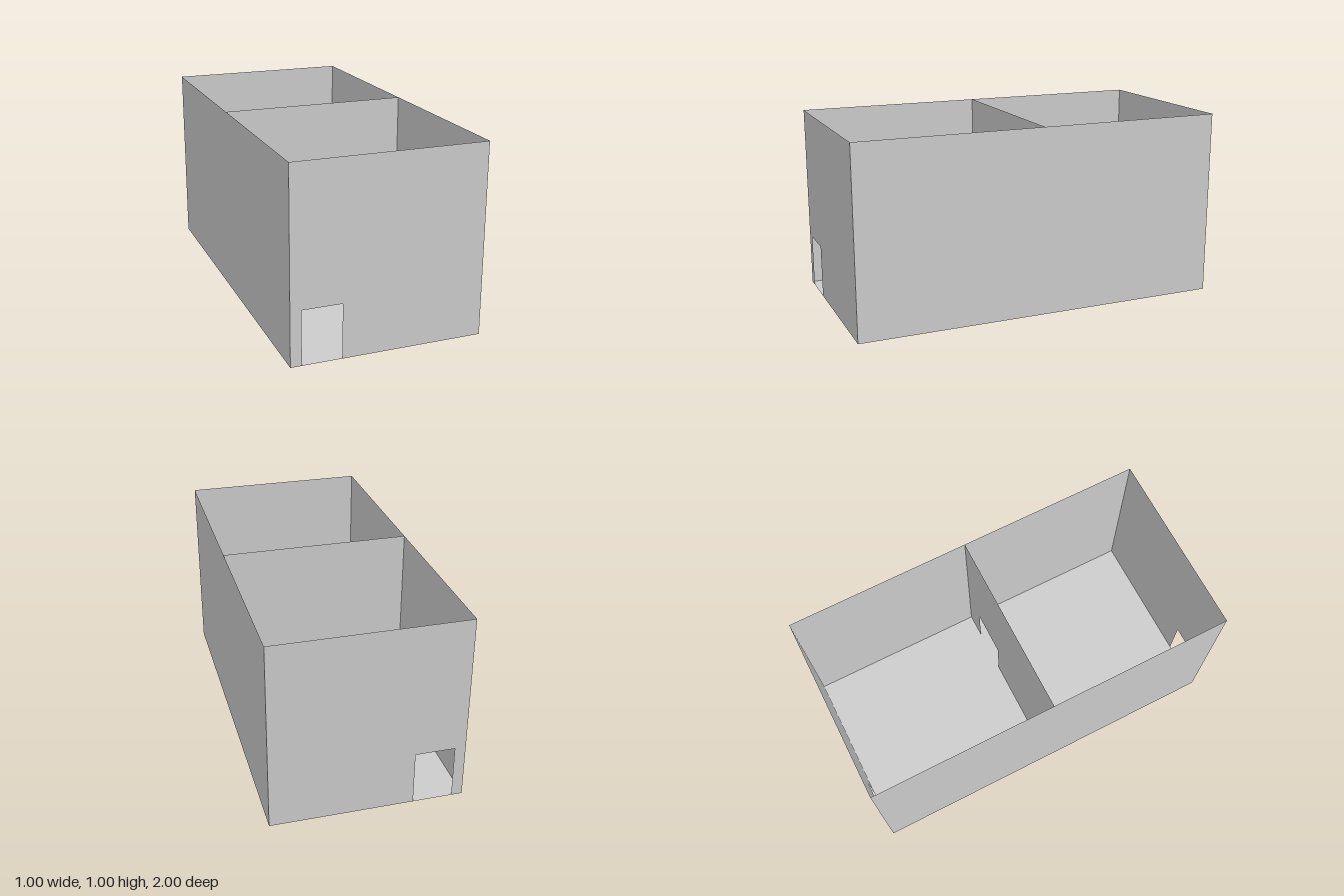
import * as THREE from 'three';

const W = 1, H = 1, L = 2;
const material = new THREE.MeshStandardMaterial({ color: 0xcccccc, side: THREE.DoubleSide, flatShading: true });

// Thin cross wall with a doorway notched into its lower edge.
function doorWall(name, z, x0, x1, doorHeight) {
  const outline = [
    [-W / 2, 0], [x0, 0], [x0, doorHeight], [x1, doorHeight],
    [x1, 0], [W / 2, 0], [W / 2, H], [-W / 2, H],
  ].map(([x, y]) => new THREE.Vector2(x, y));
  const mesh = new THREE.Mesh(new THREE.ShapeGeometry(new THREE.Shape(outline)), material);
  mesh.position.z = z;
  mesh.name = name;
  return mesh;
}

export function createModel() {
  const group = new THREE.Group();
  group.name = 'twoRoomEnclosure';

  // Floor
  const floor = new THREE.Mesh(new THREE.PlaneGeometry(W, L), material);
  floor.rotation.x = -Math.PI / 2;
  floor.name = 'floor';
  group.add(floor);

  // Long side walls
  for (const side of [-1, 1]) {
    const wall = new THREE.Mesh(new THREE.PlaneGeometry(L, H), material);
    wall.rotation.y = side * Math.PI / 2;
    wall.position.set(side * W / 2, H / 2, 0);
    wall.name = side > 0 ? 'leftWall' : 'rightWall';
    group.add(wall);
  }

  // End walls and the divider, whose doorway sits on the opposite side
  group.add(doorWall('frontWall', L / 2, -0.443, -0.238, 0.285));
  group.add(doorWall('backWall', -L / 2, -0.443, -0.238, 0.285));
  group.add(doorWall('dividerWall', 0, 0.13, 0.37, 0.285));

  return group;
}
